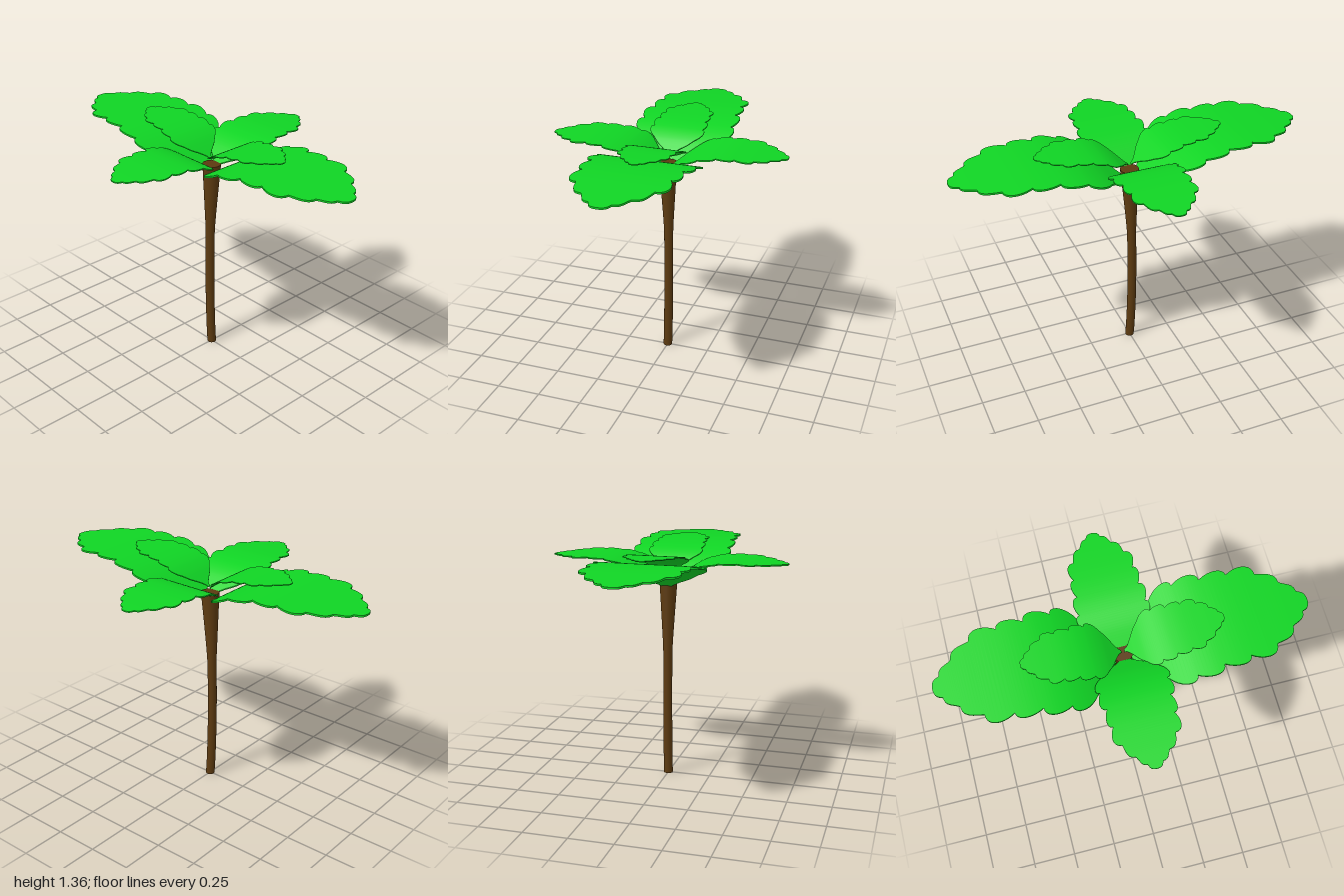
import * as THREE from 'three';

const leafMaterial = new THREE.MeshStandardMaterial({ color: 0x10d424, side: THREE.DoubleSide });
const trunkMaterial = new THREE.MeshStandardMaterial({ color: 0x5c3a10 });

// Arch of a leaf of length 1: rise above its base at distance r from the centre
const arch = new THREE.CubicInterpolant(
  [0, 0.05, 0.1, 0.2, 0.3, 0.4, 0.5, 0.6, 0.8, 1],
  [-0.02, 0.012, 0.047, 0.112, 0.157, 0.182, 0.193, 0.196, 0.189, 0.176], 1, new Float32Array(1));

// Half outline of a leaf as (half width, distance), from stem to tip
function leafOutline() {
  const v = (w, r) => new THREE.Vector2(w, r);
  const points = new THREE.SplineCurve(
    [v(0.014, 0.015), v(0.03, 0.045), v(0.09, 0.09), v(0.16, 0.135), v(0.22, 0.19)]).getPoints(12);
  // notch before the lobe, reach of the lobe
  const lobes = [[0.22, 0.19, 0.308], [0.262, 0.33, 0.302], [0.245, 0.475, 0.283], [0.235, 0.62, 0.276],
    [0.205, 0.77, 0.193], [0.13, 0.88, 0.108], [0.06, 0.955, 0.05], [0, 1, 0]];
  for (let i = 0; i < lobes.length - 1; i++) {
    const [w0, r0, reach] = lobes[i], [w1, r1] = lobes[i + 1];
    const lobe = new THREE.CubicBezierCurve(
      v(w0, r0), v(reach, r0 + 0.4 * (r1 - r0)), v(reach, r1), v(w1, r1));
    points.push(...lobe.getPoints(10).slice(1));
  }
  return points;
}
const outline = leafOutline();

// Thin arched slab running along +z; top, bottom and rims are separate strips so edges stay sharp
function leafGeometry(length, base, tilt, thickness) {
  const rows = outline.map(({ x, y }) => {
    const w = x * length, z = y * length;
    const top = base + arch.evaluate(y)[0] * length + tilt * z + thickness / 2;
    return [[-w, top, z], [w, top, z], [w, top - thickness, z], [-w, top - thickness, z]];
  });
  const positions = [], index = [];
  for (let side = 0; side < 4; side++) {
    const start = positions.length / 3;
    rows.forEach((row, i) => {
      positions.push(...row[side], ...row[(side + 1) % 4]);
      if (i === 0) return;
      const a = start + 2 * (i - 1);
      index.push(a, a + 2, a + 1, a + 1, a + 2, a + 3);
    });
  }
  const geometry = new THREE.BufferGeometry();
  geometry.setAttribute('position', new THREE.Float32BufferAttribute(positions, 3));
  geometry.setIndex(index);
  geometry.computeVertexNormals();
  return geometry;
}

// Slightly bowed trunk, flaring near the crown
function trunkGeometry(height) {
  const geometry = new THREE.CylinderGeometry(1, 1, height, 24, 24);
  geometry.translate(0, height / 2, 0);
  const p = geometry.attributes.position;
  for (let i = 0; i < p.count; i++) {
    const y = p.getY(i), t = y / height;
    const radius = 0.026 + 0.026 * Math.pow(Math.max(0, (y - 0.75) / (height - 0.75)), 1.1);
    p.setX(i, p.getX(i) * radius);
    p.setZ(i, p.getZ(i) * radius - 0.016 * Math.sin(Math.PI * Math.pow(t, 0.8)));
  }
  return geometry;
}

export function createModel() {
  const model = new THREE.Group();
  model.name = 'palmTree';

  const trunk = new THREE.Mesh(trunkGeometry(1.175), trunkMaterial);
  trunk.name = 'trunk';
  model.add(trunk);

  // Three opposite pairs: name, length, base height, tilt, thickness, turn
  const pairs = [
    ['largeLeaf', 1, 1.13, 0, 0.01, 0],
    ['sideLeaf', 0.68, 1.16, 0, 0.007, Math.PI / 2],
    ['upperLeaf', 0.54, 1.21, 0.09, 0.005, 0],
  ];
  for (const [name, length, base, tilt, thickness, turn] of pairs) {
    const geometry = leafGeometry(length, base, tilt, thickness);
    for (const half of [0, Math.PI]) {
      const leaf = new THREE.Mesh(geometry, leafMaterial);
      leaf.name = name;
      leaf.rotation.y = turn + half;
      model.add(leaf);
    }
  }
  return model;
}
